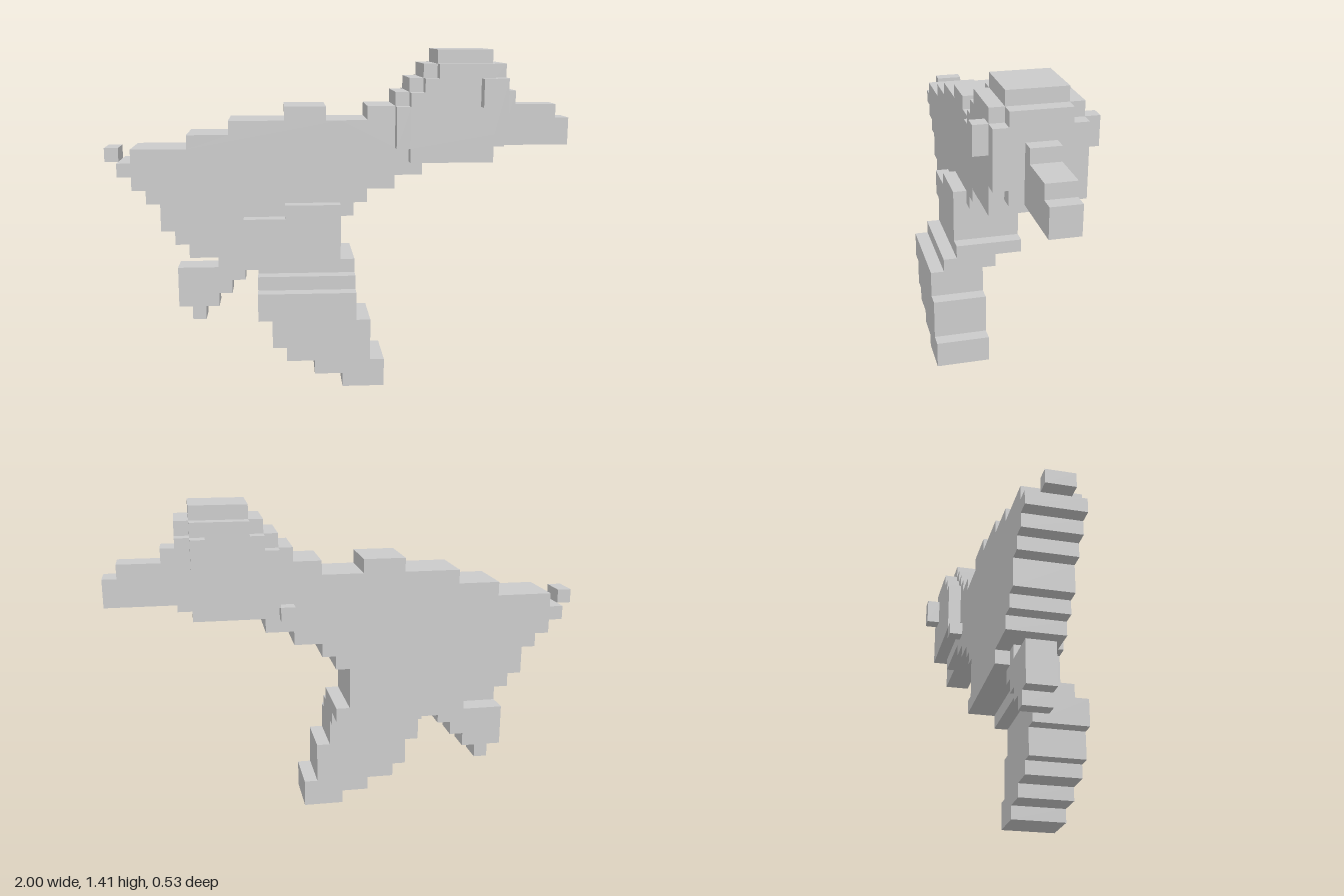
import * as THREE from 'three';

const U = 1 / 17; // size of one block

export function createModel() {
  const model = new THREE.Group();
  const material = new THREE.MeshStandardMaterial({ color: 0xcccccc, flatShading: true });

  // Stepped slab: columns [x0, x1, bottom, top] in blocks, extruded from z0 to z1
  function slab(name, z0, z1, columns) {
    const points = [];
    for (const [x0, x1, bottom] of columns) points.push([x0, bottom], [x1, bottom]);
    for (const [x0, x1, , top] of [...columns].reverse()) points.push([x1, top], [x0, top]);
    const outline = points.filter(([x, y], i) => {
      const [px, py] = points[(i + points.length - 1) % points.length];
      return x !== px || y !== py;
    });
    const shape = new THREE.Shape(outline.map(([x, y]) => new THREE.Vector2(x * U - 1, y * U)));
    const geometry = new THREE.ExtrudeGeometry(shape, { depth: (z1 - z0) * U, bevelEnabled: false });
    geometry.translate(0, 0, (z0 - 4.5) * U);
    const mesh = new THREE.Mesh(geometry, material);
    mesh.name = name;
    model.add(mesh);
  }

  // Body, neck and tail
  slab('body', 2, 6, [
    [1, 2, 15, 16], [2, 3, 14, 17], [3, 4, 13, 17], [4, 5, 11, 17], [5, 6, 10, 17],
    [6, 9, 9, 18], [9, 13, 8, 19], [13, 16, 8, 20], [16, 17, 8, 19], [17, 18, 12, 19],
    [18, 19, 13, 19], [19, 21, 14, 20], [21, 23, 15, 17],
  ]);
  slab('belly', 2, 6, [[17, 18, 8, 9]]);
  slab('tailTip', 3, 5, [[0, 1, 16, 17]]);

  // Head: tall centre with a lower plate on each cheek
  slab('head', 2, 6, [
    [21, 22, 17, 21], [22, 23, 17, 22], [23, 24, 17, 23], [24, 28, 17, 24], [28, 29, 17, 23],
  ]);
  slab('leftCheek', 6, 7, [
    [21, 22, 17, 20], [22, 23, 17, 21], [23, 24, 17, 22], [24, 28, 17, 23], [28, 29, 18, 22],
  ]);
  slab('rightCheek', 1, 2, [
    [22, 23, 17, 21], [23, 24, 17, 22], [24, 28, 17, 23], [28, 29, 17, 22],
  ]);
  slab('jaw', 2, 7, [[22, 28, 16, 17]]);
  slab('neckTuft', 1, 2, [[21, 22, 16, 17]]);
  for (const z of [0, 7]) slab('eye', z, z + 1, [[27, 28, 20, 22]]);
  slab('beak', 3, 5, [[29, 30, 17, 21], [30, 33, 17, 20], [33, 34, 17, 19]]);

  // Large near leg, widening in steps toward the foot
  slab('thigh', 6, 7, [[10, 11, 10, 12], [11, 13, 8, 12], [13, 17, 8, 13], [17, 18, 8, 9]]);
  slab('knee', 4, 8, [[11, 18, 7, 8]]);
  slab('lowerLeg', 5, 9, [
    [11, 12, 5, 7], [12, 13, 3, 7], [13, 15, 2, 7], [15, 17, 1, 7],
    [17, 18, 0, 7], [18, 19, 0, 5], [19, 20, 0, 2],
  ]);

  // Small raised foot under the tail
  slab('rearFoot', 3, 5, [
    [5, 6, 5, 8], [6, 7, 4, 8], [7, 8, 5, 8], [8, 9, 6, 9], [9, 10, 7, 8],
  ]);

  return model;
}
